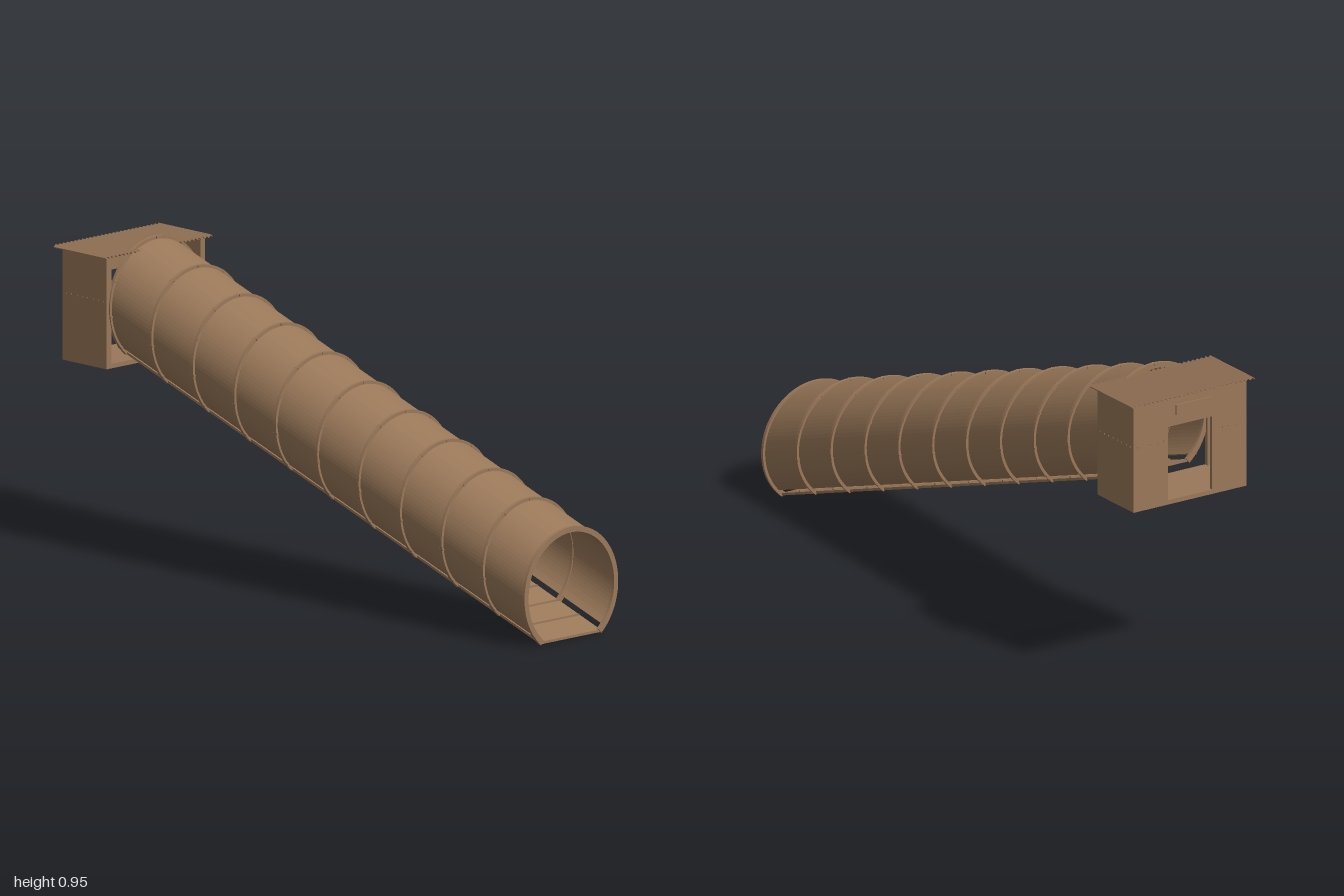
import * as THREE from 'three';

const SLOPE = 0.34;            // rise of the tunnel towards the back
const Z_FRONT = 0.995, Z_BACK = -0.79;
const CENTRE_Y = 0.153;        // tunnel axis height at the front

export function createModel() {
  const model = new THREE.Group();
  const brown = new THREE.MeshStandardMaterial({ color: 0x9a7859, side: THREE.DoubleSide });
  brown.name = 'brown wood';

  const add = (parent, name, geometry, x = 0, y = 0, z = 0) => {
    const mesh = new THREE.Mesh(geometry, brown);
    mesh.name = name;
    mesh.position.set(x, y, z);
    parent.add(mesh);
    return mesh;
  };
  // box given by its limits
  const box = (parent, name, x0, x1, y0, y1, z0, z1) =>
    add(parent, name, new THREE.BoxGeometry(x1 - x0, y1 - y0, z1 - z0),
      (x0 + x1) / 2, (y0 + y1) / 2, (z0 + z1) / 2);
  const axisY = (z) => CENTRE_Y + SLOPE * (Z_FRONT - z);

  // hoop open at the bottom; gap is the half angle of the opening
  const hoop = (outer, inner, gap, depth) => {
    const a0 = -Math.PI / 2 + gap, a1 = Math.PI * 1.5 - gap;
    const shape = new THREE.Shape();
    shape.absarc(0, 0, outer, a0, a1, false);
    shape.absarc(0, 0, inner, a1, a0, true);
    shape.closePath();
    const g = new THREE.ExtrudeGeometry(shape, { depth, bevelEnabled: false, curveSegments: 36 });
    return g.translate(0, 0, -depth / 2);
  };
  const shear = new THREE.Matrix4().makeShear(0, 0, 0, 0, 0, -SLOPE);

  // sloping tunnel: shell, floor, cleats and hoops
  const tunnel = new THREE.Group();
  tunnel.name = 'tunnel';
  model.add(tunnel);
  const length = Z_FRONT - Z_BACK, midZ = (Z_FRONT + Z_BACK) / 2;
  add(tunnel, 'tunnelShell', hoop(0.187, 0.181, 0.82, length).applyMatrix4(shear), 0, axisY(midZ), midZ);
  add(tunnel, 'tunnelFloor', new THREE.BoxGeometry(0.25, 0.008, length).applyMatrix4(shear),
    0, axisY(midZ) - 0.143, midZ);

  const sections = 10, step = length / sections;
  const ringGeometry = hoop(0.195, 0.178, 0.696, 0.01);
  const boltGeometry = new THREE.BoxGeometry(0.007, 0.005, 0.016);
  for (let i = 0; i <= sections; i++) {
    const z = Z_FRONT - 0.001 - i * step;
    const ring = add(tunnel, 'hoop', ringGeometry, 0, axisY(z), z);
    for (let k = 0; k < 9; k++) {
      const a = -0.7 + k * (Math.PI + 1.4) / 8;
      const bolt = add(ring, 'hoopBolt', boltGeometry, Math.cos(a) * 0.191, Math.sin(a) * 0.191, 0);
      bolt.rotation.z = a;
      if (i === 0) bolt.scale.z = 0.7;
    }
  }
  for (let i = 1; i < sections * 2; i++) {
    const z = Z_FRONT - i * step / 2;
    add(tunnel, 'floorCleat', new THREE.BoxGeometry(0.24, 0.005, 0.006), 0, axisY(z) - 0.137, z);
  }

  // entrance hut, open at the front, with a doorway at the back
  const hut = new THREE.Group();
  hut.name = 'hut';
  model.add(hut);
  const bottom = 0.577, top = 0.915, back = -0.98, wall = 0.012;
  box(hut, 'hutFloor', -0.193, 0.193, bottom, bottom + 0.014, back + wall, Z_BACK);
  box(hut, 'lintel', -0.08, 0.08, 0.825, top, back, back + wall);
  for (const s of [-1, 1]) {
    const span = (a, b) => [Math.min(s * a, s * b), Math.max(s * a, s * b)];
    box(hut, 'sideWall', ...span(0.193, 0.205), bottom, top, back, Z_BACK);
    box(hut, 'backPanel', ...span(0.08, 0.193), bottom, top, back, back + wall);
    box(hut, 'frontPost', ...span(0.185, 0.193), bottom, top, Z_BACK - 0.014, Z_BACK);
    // rows of bolt heads
    for (let k = 0; k < 8; k++) {
      box(hut, 'wallBolt', ...span(0.205, 0.207), 0.781, 0.785, back + 0.014 + k * 0.023, back + 0.018 + k * 0.023);
      if (k < 5) box(hut, 'wallBolt', ...span(0.092 + k * 0.024, 0.096 + k * 0.024), 0.781, 0.785, back - 0.002, back);
    }
  }
  box(hut, 'doorSill', -0.08, 0.08, bottom, bottom + 0.014, back, back + wall);
  box(hut, 'hangingBoard', -0.063, 0.063, 0.865, 0.897, -0.999, -0.995);

  // corrugated roof sheet with ridges running front to back
  const ridges = 28, width = 0.444;
  const roof = new THREE.Shape();
  for (let i = 0; i <= ridges * 2; i++) {
    const x = -width / 2 + (i * width) / (ridges * 2), y = i % 2 ? 0.004 : -0.003;
    if (i) roof.lineTo(x, y); else roof.moveTo(x, y);
  }
  for (let i = ridges * 2; i >= 0; i--) {
    roof.lineTo(-width / 2 + (i * width) / (ridges * 2), (i % 2 ? 0.004 : -0.003) - 0.003);
  }
  roof.closePath();
  add(hut, 'corrugatedRoof',
    new THREE.ExtrudeGeometry(roof, { depth: 0.225, bevelEnabled: false }), 0, 0.925, -1);

  return model;
}
